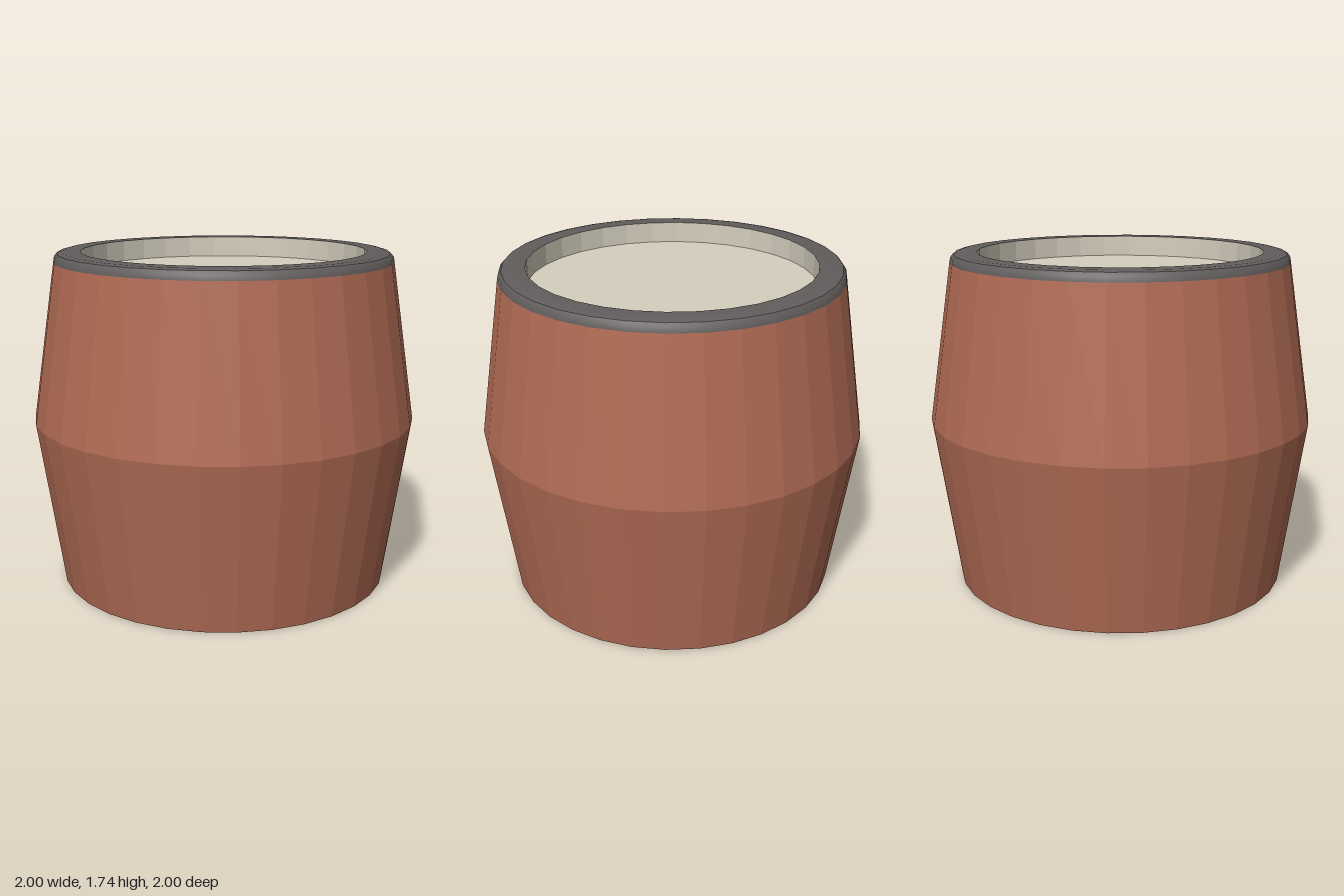
import * as THREE from 'three';
import { toCreasedNormals } from 'three/addons/utils/BufferGeometryUtils.js';

const SIDES = 32;

const material = (name, color) => {
  const m = new THREE.MeshStandardMaterial({ color });
  m.name = name;
  return m;
};

// Turned part from a [radius, height] profile; edges sharper than crease stay hard
function turned(name, mat, profile, crease) {
  const points = profile.map(([r, y]) => new THREE.Vector2(r, y));
  const geometry = toCreasedNormals(new THREE.LatheGeometry(points, SIDES), crease);
  const mesh = new THREE.Mesh(geometry, mat);
  mesh.name = name;
  return mesh;
}

// Flat disc facing up or down
function disc(name, mat, radius, y, up) {
  const geometry = new THREE.CircleGeometry(radius, SIDES);
  geometry.rotateX(up ? -Math.PI / 2 : Math.PI / 2);
  const mesh = new THREE.Mesh(geometry, mat);
  mesh.name = name;
  mesh.position.y = y;
  return mesh;
}

export function createModel() {
  const wood = material('reddish wood', 0xb06b54);
  const iron = material('dark rim grey', 0x625d5d);
  const cream = material('pale cream', 0xd6cfbf);

  const group = new THREE.Group();
  group.name = 'barrel';

  // Faceted staves with a belly at mid height, and the base
  group.add(turned('staves', wood, [[0.87, 0], [1, 0.87], [0.877, 1.69]], 0.05));
  group.add(disc('base', wood, 0.87, 0, false));

  // Rounded rim around the opening
  group.add(turned('rim', iron, [
    [0.877, 1.69], [0.872, 1.715], [0.857, 1.733], [0.83, 1.74], [0.738, 1.74],
  ], 0.6));

  // Recessed lid inside the rim
  group.add(turned('innerWall', cream, [[0.738, 1.74], [0.738, 1.63]], 0.05));
  group.add(disc('lid', cream, 0.738, 1.63, true));

  return group;
}
